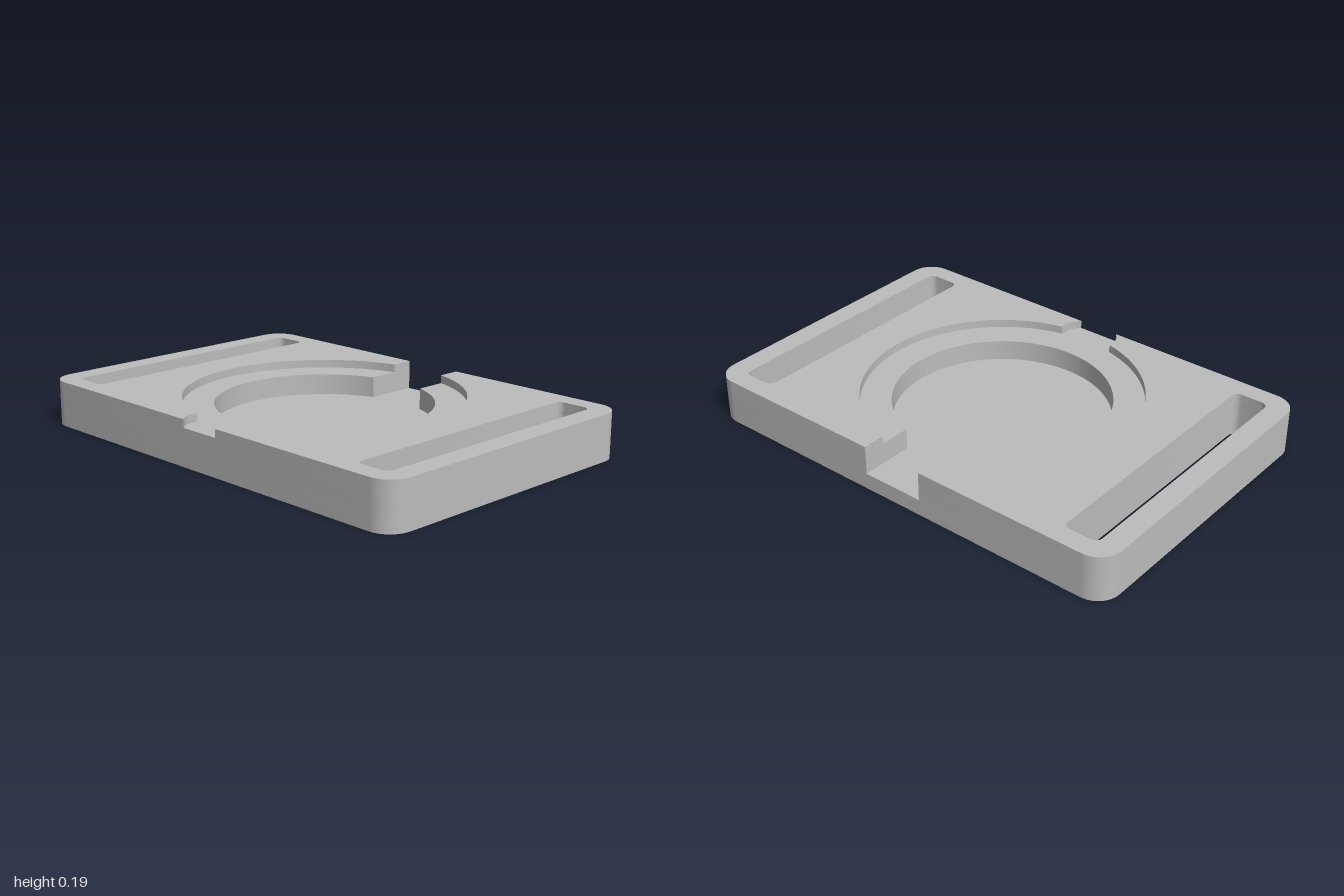
import * as THREE from 'three';
import { toCreasedNormals } from 'three/addons/utils/BufferGeometryUtils.js';

const W = 1, D = 0.667, CORNER = 0.1;      // half width, half depth, corner radius
const FLOOR = 0.07, LEDGE = 0.16, TOP = 0.195; // level heights
const CHANNEL = 0.137;                     // half width of the rear channel

const v = (x, y) => new THREE.Vector2(x, y);
const mirror = (pts) => pts.map((p) => v(-p.x, p.y)).reverse();

function arc(cx, cy, r, a0, a1, n) {
  return Array.from({ length: n + 1 }, (_, i) => {
    const a = a0 + ((a1 - a0) * i) / n;
    return v(cx + r * Math.cos(a), cy + r * Math.sin(a));
  });
}

function roundedRect(x0, y0, x1, y1, r, n) {
  const q = Math.PI / 2;
  return [
    ...arc(x1 - r, y0 + r, r, -q, 0, n), ...arc(x1 - r, y1 - r, r, 0, q, n),
    ...arc(x0 + r, y1 - r, r, q, 2 * q, n), ...arc(x0 + r, y0 + r, r, 2 * q, 3 * q, n),
  ];
}

// Half of a rim: front edge, outer side, back edge, channel wall, round bore
function halfRim(boreRadius, frontX) {
  const q = Math.PI / 2;
  return [
    ...arc(W - CORNER, -D + CORNER, CORNER, -q, 0, 12),
    ...arc(W - CORNER, D - CORNER, CORNER, 0, q, 12),
    v(CHANNEL, D),
    ...arc(0, 0, boreRadius, Math.acos(CHANNEL / boreRadius), -Math.acos(frontX / boreRadius), 64),
  ];
}

const slot = roundedRect(0.755, -0.582, 0.906, 0.583, 0.03, 6);

// Extrudes a plan outline (shape y points to the back) between two heights
function slab(name, outline, holes, y0, y1, material) {
  const shape = new THREE.Shape(outline);
  shape.holes = holes.map((h) => new THREE.Path(h));
  let geo = new THREE.ExtrudeGeometry(shape, { depth: y1 - y0, bevelEnabled: false });
  geo.rotateX(-Math.PI / 2);
  geo.translate(0, y0, 0);
  geo = toCreasedNormals(geo, 0.5);
  const mesh = new THREE.Mesh(geo, material);
  mesh.name = name;
  return mesh;
}

export function createModel() {
  const group = new THREE.Group();
  group.name = 'slottedPlate';
  const grey = new THREE.MeshStandardMaterial({ color: 0xbcbcbc });
  grey.name = 'grey';
  const slots = [slot, mirror(slot)];

  // Bottom plate with the two strap slots
  group.add(slab('basePlate', roundedRect(-W, -D, W, D, CORNER, 12), slots, 0, FLOOR, grey));

  // Ledge level: round recess opening into the rear channel
  const half = halfRim(0.455, 0);
  const ledge = [v(0, -D), ...half, ...mirror(half).slice(1)];
  group.add(slab('ledgeLayer', ledge, slots, FLOOR, LEDGE, grey));

  // Top level: wider recess, split by the rear channel and the front thumb notch
  const notch = [v(0.128, -0.605), v(0.124, -0.625), v(0.113, -0.646), v(0.094, -D)];
  const rim = [...notch, ...halfRim(0.585, 0.128)];
  group.add(slab('leftRim', rim, [slot], LEDGE, TOP, grey));
  group.add(slab('rightRim', mirror(rim), [mirror(slot)], LEDGE, TOP, grey));

  return group;
}
